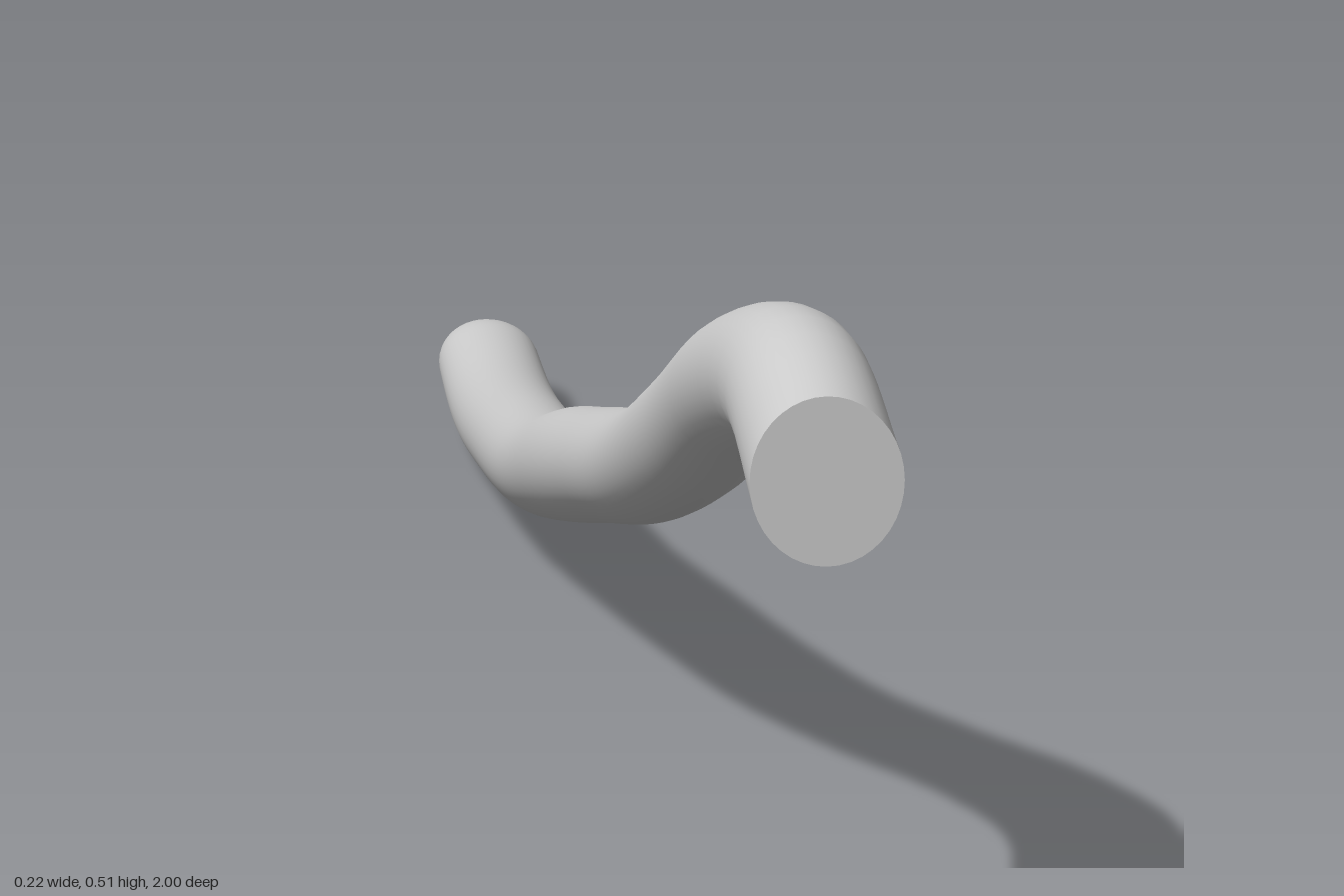
import * as THREE from 'three';
import { mergeVertices } from 'three/addons/utils/BufferGeometryUtils.js';

// Cross-sections from the cut end (z = 1) to the tip (z = -1), evenly spaced:
// centre x, centre y, half width, half height
const SECTIONS = [
  [0.044, 0.418, 0.064, 0.072],
  [0.034, 0.452, 0.061, 0.063],
  [0.013, 0.404, 0.058, 0.061],
  [-0.008, 0.316, 0.054, 0.059],
  [-0.028, 0.239, 0.052, 0.051],
  [-0.045, 0.188, 0.049, 0.049],
  [-0.056, 0.140, 0.047, 0.049],
  [-0.063, 0.091, 0.045, 0.043],
  [-0.065, 0.061, 0.044, 0.041],
  [-0.066, 0.042, 0.043, 0.038],
  [-0.066, 0.050, 0.040, 0.029],
];
const SIDES = 40;
const ROWS = 72;
const TIP = 0.07; // length of the rounded tip

const spline = (points) => new THREE.CatmullRomCurve3(points, false, 'catmullrom', 0.5);

function createBody(material) {
  const path = spline(SECTIONS.map(([x, y], i) => new THREE.Vector3(x, y, 1 - 0.2 * i)));
  const size = spline(SECTIONS.map(([, , w, h]) => new THREE.Vector3(w, h, 0)));

  // Open unit cylinder along z, swept along the path with rows crowding toward the tip
  const geometry = new THREE.CylinderGeometry(1, 1, 2, SIDES, ROWS, true).rotateX(Math.PI / 2);
  const pos = geometry.attributes.position;
  for (let i = 0; i < pos.count; i++) {
    const v = THREE.MathUtils.clamp((1 - pos.getZ(i)) / 2, 0, 1);
    const t = Math.sin(v * Math.PI / 2);
    const c = path.getPoint(t);
    const s = size.getPoint(t);
    const u = THREE.MathUtils.clamp((TIP - 1 - c.z) / TIP, 0, 1);
    const round = Math.sqrt(1 - u * u);
    pos.setXYZ(i, c.x + pos.getX(i) * s.x * round, c.y + pos.getY(i) * s.y * round, c.z);
  }

  // Weld the seam so the surface shades smoothly all round
  geometry.deleteAttribute('uv');
  geometry.deleteAttribute('normal');
  const welded = mergeVertices(geometry, 1e-5);
  welded.computeVertexNormals();
  const body = new THREE.Mesh(welded, material);
  body.name = 'curvedBody';
  return body;
}

function createEndCap(material) {
  const [x, y, w, h] = SECTIONS[0];
  const cap = new THREE.Mesh(new THREE.CircleGeometry(1, SIDES).scale(w, h, 1), material);
  cap.position.set(x, y, 1);
  cap.name = 'flatEndCap';
  return cap;
}

export function createModel() {
  const material = new THREE.MeshStandardMaterial({ color: 0xcccccc });
  const group = new THREE.Group();
  group.name = 'taperedTail';
  group.add(createBody(material), createEndCap(material));
  return group;
}
